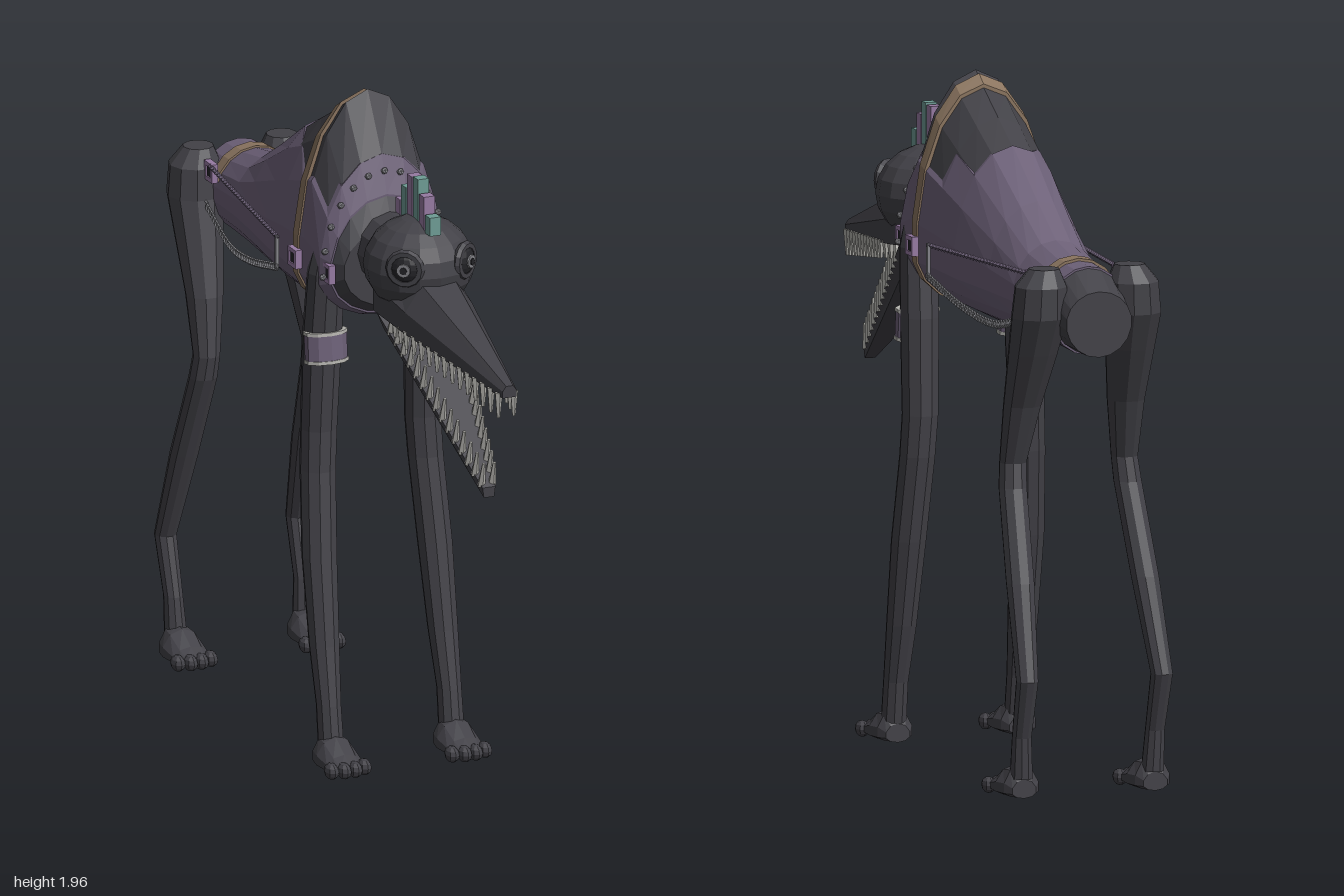
import * as THREE from 'three';

const mat = (name, color) => Object.assign(new THREE.MeshStandardMaterial({ color }), { name });
const M = {
  hide: mat('charcoal hide', 0x424147),
  cloth: mat('dusky purple cloth', 0x6c6077),
  tan: mat('tan leather', 0x8a745f),
  teal: mat('muted teal', 0x6f9c95),
  violet: mat('bright violet', 0x977ba3),
  tooth: mat('tooth grey', 0xb4b3ae),
  metal: mat('dull metal', 0x85858a),
  black: mat('eye black', 0x242428),
};
const V = (x, y, z) => new THREE.Vector3(x, y, z);
const lerp = THREE.MathUtils.lerp;

// Faceted mesh helper
function add(parent, name, geo, material, pos = [0, 0, 0], rot = [0, 0, 0]) {
  const g = geo.index ? geo.toNonIndexed() : geo;
  g.computeVertexNormals();
  const m = new THREE.Mesh(g, material);
  m.name = name;
  m.position.set(...pos);
  m.rotation.set(...rot);
  parent.add(m);
  return m;
}

// Skin a list of rings, with end caps
function loft(rings) {
  const n = rings[0].length, pos = [], idx = [];
  const mid = r => r.reduce((s, p) => s.add(p), V(0, 0, 0)).divideScalar(n);
  const last = rings.length - 1;
  [...rings.flat(), mid(rings[0]), mid(rings[last])].forEach(p => pos.push(p.x, p.y, p.z));
  const c0 = rings.length * n;
  for (let i = 0; i < n; i++) {
    const j = (i + 1) % n;
    for (let k = 0; k < last; k++) {
      const a = k * n, b = a + n;
      idx.push(a + i, b + i, a + j, b + i, b + j, a + j);
    }
    idx.push(c0, i, j, c0 + 1, last * n + j, last * n + i);
  }
  const g = new THREE.BufferGeometry();
  g.setAttribute('position', new THREE.Float32BufferAttribute(pos, 3));
  g.setIndex(idx);
  return g;
}

// Egg-shaped upright ring, kept within lo..hi
function ring(z, yb, yt, hw, yc, x = 0, n = 18, lo = -9, hi = 9) {
  return Array.from({ length: n }, (_, i) => {
    const a = i / n * Math.PI * 2 + Math.PI / 2, s = Math.sin(a);
    const y = yc + s * (s > 0 ? yt - yc : yc - yb);
    return V(x + Math.cos(a) * hw, Math.min(hi, Math.max(lo, y)), z);
  });
}

// Torso stations: z, bottom, top, half width, widest height
const BODY = [
  [0.17, 1.36, 1.6, 0.15, 1.48], [0.13, 1.33, 1.69, 0.175, 1.46], [0.1, 1.32, 1.79, 0.19, 1.45],
  [0, 1.31, 1.96, 0.197, 1.45], [-0.06, 1.3, 1.92, 0.197, 1.45], [-0.18, 1.295, 1.85, 0.188, 1.45],
  [-0.3, 1.29, 1.78, 0.175, 1.44], [-0.5, 1.285, 1.65, 0.145, 1.43], [-0.65, 1.285, 1.56, 0.125, 1.42],
  [-0.8, 1.285, 1.53, 0.115, 1.41], [-0.9, 1.28, 1.53, 0.112, 1.41], [-1, 1.28, 1.47, 0.1, 1.38],
];
function station(z) {
  let k = 0;
  while (k < BODY.length - 2 && BODY[k + 1][0] > z) k++;
  const a = BODY[k], b = BODY[k + 1], t = (z - a[0]) / (b[0] - a[0]);
  return a.map((v, i) => lerp(v, b[i], t));
}
function bodyRing(z, out, lo, hi) {
  const [, yb, yt, hw, yc] = station(z);
  return ring(z, yb - out, yt + out, hw + out, yc, 0, 18, lo, hi);
}

function buildTorso(root) {
  add(root, 'torso', loft(BODY.map(s => bodyRing(s[0], 0))), M.hide);
  // The shirt stops below the hump
  const cut = [[0.135, 9], [0.1, 9], [0, 1.76], [-0.06, 1.74], [-0.18, 1.75], [-0.3, 9], [-0.5, 9], [-0.65, 9], [-0.8, 9], [-0.91, 9]];
  add(root, 'shirt', loft(cut.map(([z, hi]) => bodyRing(z, 0.006, -9, hi))), M.cloth);
  add(root, 'girthStrap', loft([-0.027, -0.06, -0.065].map(z => bodyRing(z, 0.011))), M.tan);
  add(root, 'rearStrap', loft([-0.79, -0.835].map(z => bodyRing(z, 0.012, 1.45))), M.tan);
  // Collar studs
  const [, , yt, hw, yc] = station(0.115);
  for (let i = 0; i < 13; i++) {
    const a = Math.PI * i / 12;
    add(root, 'collarStud', new THREE.IcosahedronGeometry(0.011), M.metal,
      [Math.cos(a) * (hw + 0.01), yc + Math.sin(a) * (yt - yc + 0.01), 0.118]);
  }
  add(root, 'neck', new THREE.CylinderGeometry(0.1, 0.11, 0.16, 12), M.hide, [0, 1.53, 0.2], [Math.PI / 2, 0, 0]);
}

function buildHead(root) {
  const head = new THREE.Group();
  head.name = 'head';
  root.add(head);
  add(head, 'skull', new THREE.SphereGeometry(0.16, 16, 10), M.hide, [0, 1.55, 0.36]).scale.set(1, 0.88, 1);
  // Six-sided upper beak
  const beak = (z, hw, yb, ym, yt) => [V(hw, yb, z), V(hw, ym, z), V(hw * 0.5, yt, z), V(-hw * 0.5, yt, z), V(-hw, ym, z), V(-hw, yb, z)];
  add(head, 'upperBeak', loft([
    beak(1, 0.022, 1.34, 1.36, 1.375), beak(0.5, 0.105, 1.39, 1.455, 1.53), beak(0.32, 0.125, 1.41, 1.49, 1.55),
  ]), M.hide);
  const jaw = (z, hw, yb, yt) => [V(hw * 0.8, yb, z), V(hw, yt, z), V(-hw, yt, z), V(-hw * 0.8, yb, z)];
  add(head, 'lowerJaw', loft([jaw(0.855, 0.02, 0.995, 1.025), jaw(0.32, 0.115, 1.35, 1.405), jaw(0.29, 0.1, 1.38, 1.43)]), M.hide);
  for (const s of [-1, 1]) {
    for (let i = 0; i < 15; i++) {
      const t = i / 14, len = lerp(0.075, 0.05, t);
      const z = lerp(0.975, 0.42, t), f = (1 - z) / 0.5;
      add(head, 'upperTooth', new THREE.CylinderGeometry(0.012, 0.005, len, 5), M.tooth,
        [s * lerp(0.02, 0.1, Math.min(f, 1)), lerp(1.34, 1.39, f) - len / 2 + 0.008, z]);
      const w = lerp(0.84, 0.38, t), q = (0.855 - w) / 0.535;
      add(head, 'lowerTooth', new THREE.CylinderGeometry(0.005, 0.012, 0.075, 5), M.tooth,
        [s * lerp(0.014, 0.106, q), lerp(1.025, 1.405, q) + 0.026, w + 0.006], [0.25, 0, 0]);
    }
    // Eye facing outward and forward
    const eye = new THREE.Group();
    eye.name = 'eye';
    eye.position.set(s * 0.093, 1.578, 0.474);
    eye.rotation.y = s * 0.65;
    head.add(eye);
    add(eye, 'eyeSocket', new THREE.TorusGeometry(0.045, 0.013, 6, 14), M.hide);
    add(eye, 'eyeball', new THREE.SphereGeometry(0.043, 12, 8), M.black).scale.z = 0.5;
    add(eye, 'iris', new THREE.CylinderGeometry(0.02, 0.02, 0.006, 10), M.metal, [0, 0, 0.021], [Math.PI / 2, 0, 0]);
    add(eye, 'pupil', new THREE.CylinderGeometry(0.011, 0.011, 0.006, 8), M.black, [0, 0, 0.024], [Math.PI / 2, 0, 0]);
  }
  // Crest blocks, alternating colours
  [1.71, 1.76, 1.805, 1.81, 1.77, 1.72].forEach((top, i) => {
    const z = 0.25 + i * 0.042, base = 1.665;
    add(head, 'crestBlock', new THREE.BoxGeometry(0.034, top - base, 0.034), i % 2 ? M.teal : M.violet, [0, (top + base) / 2, z]);
  });
}

// Leg stations: y, x, z, radius
const FRONT = [
  [1.52, 0.15, 0.06, 0.045], [1.45, 0.155, 0.055, 0.055], [1.25, 0.158, 0.035, 0.058], [0.97, 0.162, 0.02, 0.054],
  [0.85, 0.168, 0.027, 0.053], [0.6, 0.18, 0.065, 0.052], [0.35, 0.185, 0.11, 0.045], [0.18, 0.188, 0.148, 0.037], [0.06, 0.188, 0.165, 0.038],
];
const REAR = [
  [1.53, 0.13, -0.9, 0.045], [1.48, 0.14, -0.9, 0.077], [1.39, 0.143, -0.895, 0.083], [1.28, 0.148, -0.855, 0.073],
  [1.12, 0.158, -0.795, 0.056], [0.95, 0.17, -0.752, 0.04], [0.88, 0.175, -0.765, 0.042], [0.62, 0.19, -0.865, 0.042],
  [0.35, 0.205, -0.962, 0.033], [0.18, 0.203, -0.912, 0.029], [0.06, 0.2, -0.9, 0.034],
];
function buildLeg(root, s, name, path, heel) {
  const leg = new THREE.Group();
  leg.name = name;
  root.add(leg);
  add(leg, 'limb', loft(path.map(([y, x, z, r]) => Array.from({ length: 10 }, (_, i) => {
    const a = i / 10 * Math.PI * 2;
    return V(s * x + Math.cos(a) * r, y, z - Math.sin(a) * r);
  }))), M.hide);
  // Paw with four toes
  const x = s * path[path.length - 1][1];
  add(leg, 'paw', loft([[0.17, 0.045, 0.04], [0.13, 0.058, 0.06], [0.07, 0.064, 0.095], [0.025, 0.055, 0.1], [0, 0.038, 0.06]]
    .map(([dz, hw, h]) => ring(heel + dz, 0.005, h, hw, 0.025, x, 10))), M.hide);
  for (let i = 0; i < 4; i++) {
    const u = i - 1.5;
    add(leg, 'toe', new THREE.SphereGeometry(0.024, 8, 6), M.hide,
      [x + u * 0.034, 0.025, heel + 0.172 - Math.abs(u) * 0.012]).scale.set(0.85, 1, 1.25);
  }
}

function buildTrim(root, s) {
  // Cuff with pale edging on the front leg
  add(root, 'legCuff', new THREE.CylinderGeometry(0.064, 0.064, 0.09, 10), M.cloth, [s * 0.157, 1.225, 0.06], [-0.1, 0, 0]).scale.z = 0.68;
  for (const y of [1.185, 1.268])
    add(root, 'cuffEdge', new THREE.CylinderGeometry(0.067, 0.067, 0.01, 10), M.tooth, [s * 0.157, y, 0.064 - (y - 1.185) * 0.1], [-0.1, 0, 0]).scale.z = 0.69;
  // Square buckles
  for (const [x, y, z] of [[0.178, 1.47, 0.125], [0.21, 1.47, -0.04], [0.132, 1.48, -0.805]]) {
    add(root, 'buckleBack', new THREE.BoxGeometry(0.012, 0.035, 0.035), M.black, [s * x, y, z]);
    for (const d of [-1, 1]) {
      add(root, 'buckleBar', new THREE.BoxGeometry(0.02, 0.012, 0.056), M.violet, [s * x, y + d * 0.022, z]);
      add(root, 'buckleBar', new THREE.BoxGeometry(0.02, 0.056, 0.012), M.violet, [s * x, y, z + d * 0.022]);
    }
  }
  // Beaded line and hanging chain along the flank
  for (let i = 0; i < 32; i++) {
    const t = i / 31;
    add(root, 'bead', new THREE.OctahedronGeometry(0.009), M.cloth, [s * lerp(0.207, 0.14, t), lerp(1.49, 1.5, t), lerp(-0.17, -0.79, t)]);
  }
  const curve = new THREE.CatmullRomCurve3([
    V(s * 0.21, 1.4, -0.17), V(s * 0.19, 1.345, -0.4), V(s * 0.165, 1.325, -0.6), V(s * 0.145, 1.38, -0.81)]);
  const n = 40;
  for (let i = 0; i <= n; i++) {
    const p = curve.getPointAt(i / n);
    add(root, 'chainLink', new THREE.TorusGeometry(0.01, 0.0035, 4, 8), M.metal, [p.x, p.y, p.z], [i % 2 ? Math.PI / 2 : 0, Math.PI / 2, 0]);
  }
  add(root, 'chainHanger', new THREE.BoxGeometry(0.01, 0.1, 0.01), M.metal, [s * 0.208, 1.445, -0.17]);
}

export function createModel() {
  const root = new THREE.Group();
  root.name = 'longLeggedBeast';
  buildTorso(root);
  buildHead(root);
  for (const s of [-1, 1]) {
    const side = s > 0 ? 'left' : 'right';
    buildLeg(root, s, side + 'FrontLeg', FRONT, 0.13);
    buildLeg(root, s, side + 'RearLeg', REAR, -0.925);
    buildTrim(root, s);
  }
  return root;
}
